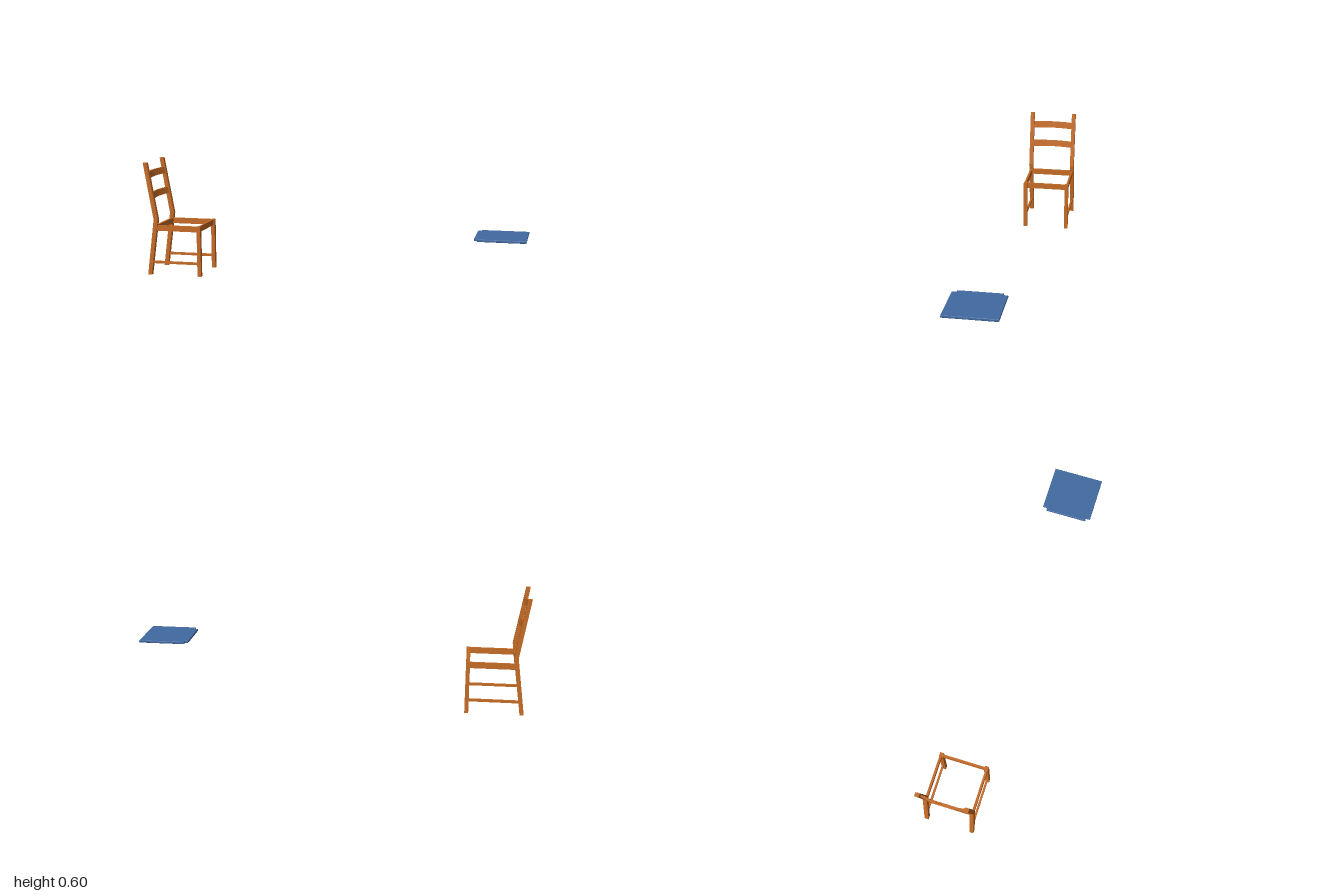
import * as THREE from 'three';

const MID_Z = -0.0515; // centre line of the chair frame
const wood = new THREE.MeshStandardMaterial({ color: 0xc46a24 });
const fabric = new THREE.MeshStandardMaterial({ color: 0x4169a0 });

function polygon(points) {
  return new THREE.Shape(points.map(([x, y]) => new THREE.Vector2(x, y)));
}

// Box given by its limits on each axis
function bar(name, x0, x1, y0, y1, z0, z1) {
  const mesh = new THREE.Mesh(new THREE.BoxGeometry(x1 - x0, y1 - y0, z1 - z0), wood);
  mesh.position.set((x0 + x1) / 2, (y0 + y1) / 2, (z0 + z1) / 2);
  mesh.name = name;
  return mesh;
}

// Bent post: splayed rear leg that leans back above the seat
function backPost(z0, z1) {
  const shape = polygon([
    [-0.987, 0], [-0.966, 0], [-0.925, 0.297],
    [-0.979, 0.597], [-1, 0.597], [-0.948, 0.297],
  ]);
  const geo = new THREE.ExtrudeGeometry(shape, { depth: z1 - z0, bevelEnabled: false });
  geo.translate(0, 0, z0);
  const mesh = new THREE.Mesh(geo, wood);
  mesh.name = 'backPost';
  return mesh;
}

// Slat bowed backwards in plan and sheared to follow the leaning posts
function backSlat(x, y0, y1) {
  const half = 0.112, bow = 0.014, thick = 0.009, steps = 10;
  const front = [], back = [];
  for (let i = 0; i <= steps; i++) {
    const t = (i / steps) * 2 - 1;
    const dx = -bow * (1 - t * t);
    front.push([dx + thick / 2, t * half]);
    back.unshift([dx - thick / 2, t * half]);
  }
  const h = y1 - y0;
  const geo = new THREE.ExtrudeGeometry(polygon([...front, ...back]), { depth: h, bevelEnabled: false });
  geo.translate(0, 0, -h / 2);
  geo.rotateX(-Math.PI / 2);
  const p = geo.attributes.position;
  for (let i = 0; i < p.count; i++) p.setX(i, p.getX(i) - 0.178 * p.getY(i));
  geo.computeVertexNormals();
  const mesh = new THREE.Mesh(geo, wood);
  mesh.position.set(x, (y0 + y1) / 2, MID_Z);
  mesh.name = 'backSlat';
  return mesh;
}

// Seat pad with rear corners notched for the posts and softened edges
function seatPad() {
  const b = 0.003;
  const cz = 0.0525, w = 0.1315 - b, n = 0.109 - b;
  const x0 = 0.745 + b, xn = 0.761 + b, x1 = 1 - b;
  const shape = polygon([
    [x0, -n], [xn, -n], [xn, -w], [x1, -w],
    [x1, w], [xn, w], [xn, n], [x0, n],
  ]);
  const geo = new THREE.ExtrudeGeometry(shape, {
    depth: 0.013 - 2 * b, bevelThickness: b, bevelSize: b, bevelSegments: 3,
  });
  geo.rotateX(-Math.PI / 2);
  const mesh = new THREE.Mesh(geo, fabric);
  mesh.position.set(0, 0.27 + b, cz);
  mesh.name = 'seat';
  return mesh;
}

export function createModel() {
  const model = new THREE.Group();
  const frame = new THREE.Group();
  frame.name = 'chairFrame';

  // Mirrored side parts
  for (const s of [-1, 1]) {
    const span = (a, b) => [MID_Z + s * a, MID_Z + s * b].sort((p, q) => p - q);
    frame.add(backPost(...span(0.11, 0.1315)));
    frame.add(bar('frontLeg', -0.712, -0.692, 0, 0.268, ...span(0.108, 0.128)));
    frame.add(bar('sideRail', -0.94, -0.705, 0.237, 0.267, ...span(0.115, 0.126)));
    frame.add(bar('sideStretcher', -0.968, -0.702, 0.061, 0.074, ...span(0.115, 0.125)));
  }

  // Cross rails under the seat
  frame.add(bar('frontRail', -0.708, -0.698, 0.237, 0.267, MID_Z - 0.11, MID_Z + 0.11));
  frame.add(bar('backRail', -0.944, -0.932, 0.237, 0.267, MID_Z - 0.112, MID_Z + 0.112));

  // Backrest slats
  frame.add(backSlat(-0.957, 0.405, 0.438));
  frame.add(backSlat(-0.976, 0.513, 0.547));

  model.add(frame, seatPad());
  return model;
}
